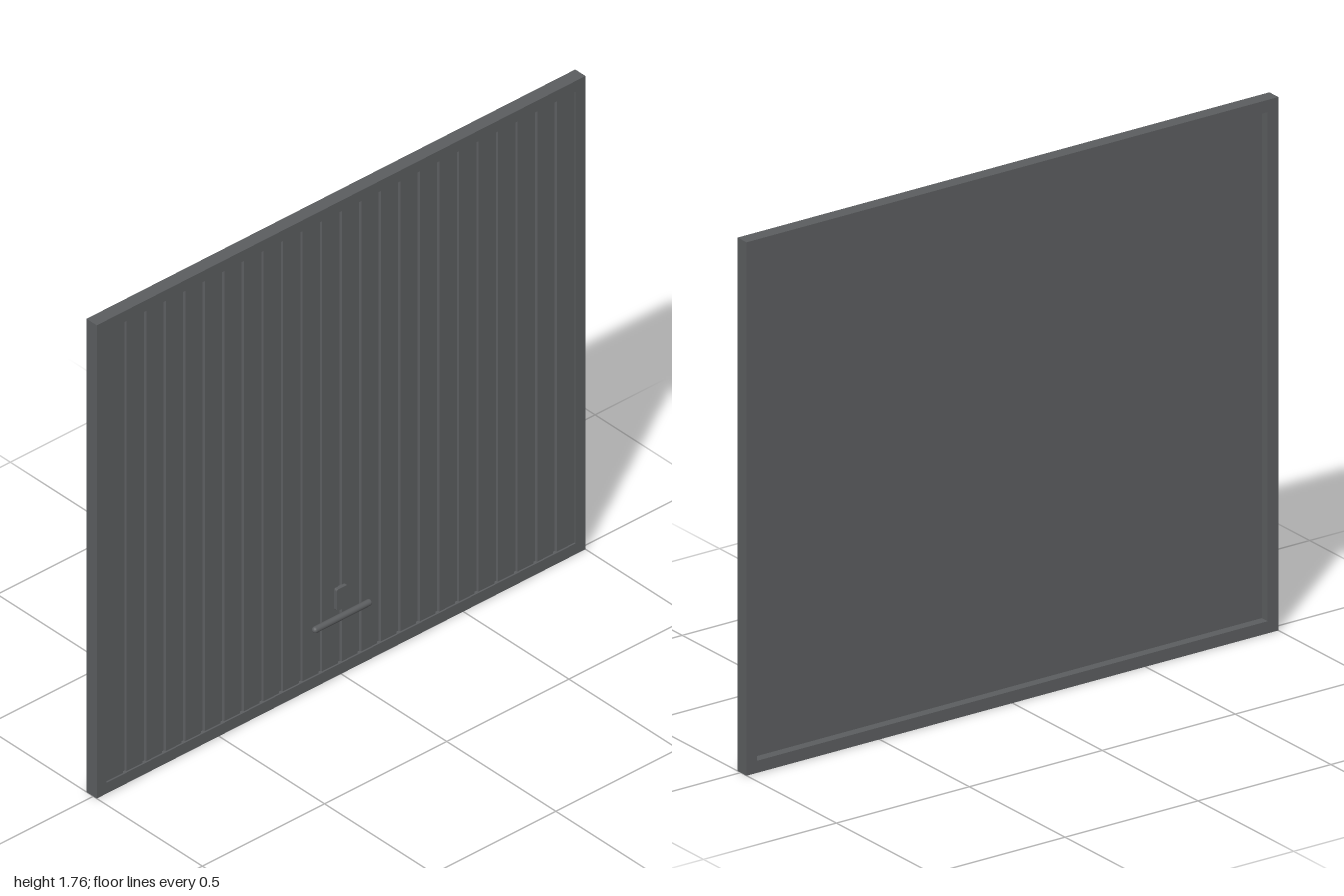
import * as THREE from 'three';

const W = 2, H = 1.76, RIM = 0.04;
const BACK = -0.031, FRONT = 0.016;

// Rectangle outline centred on x, between two heights
function rect(Type, halfW, y0, y1) {
  const s = new Type();
  s.moveTo(-halfW, y0);
  s.lineTo(halfW, y0);
  s.lineTo(halfW, y1);
  s.lineTo(-halfW, y1);
  s.closePath();
  return s;
}

export function createModel() {
  const model = new THREE.Group();
  model.name = 'garageDoor';
  const steel = new THREE.MeshStandardMaterial({ color: 0x5b5d5f });
  steel.name = 'anthracite steel';

  const add = (name, geometry) => {
    const mesh = new THREE.Mesh(geometry, steel);
    mesh.name = name;
    model.add(mesh);
    return mesh;
  };

  // Outer frame: deep at the back, shallow at the front
  const frame = rect(THREE.Shape, W / 2, 0, H);
  frame.holes.push(rect(THREE.Path, W / 2 - RIM, RIM, H - RIM));
  add('frame', new THREE.ExtrudeGeometry(frame, { depth: FRONT - BACK, bevelEnabled: false }))
    .position.z = BACK;

  // Door panel: flat back, front face with narrow upright grooves
  const pitch = 0.08, half = 0.008, face = 0.01, floor = 0.003, back = 0;
  const edge = W / 2 - RIM;
  const profile = new THREE.Shape();
  profile.moveTo(-edge, -back);
  profile.lineTo(-edge, -face);
  for (let i = -11; i <= 11; i++) {
    const x = i * pitch;
    profile.lineTo(x - half, -face);
    profile.lineTo(x - half * 0.6, -floor);
    profile.lineTo(x + half * 0.6, -floor);
    profile.lineTo(x + half, -face);
  }
  profile.lineTo(edge, -face);
  profile.lineTo(edge, -back);
  profile.closePath();
  const panel = new THREE.ExtrudeGeometry(profile, { depth: H - 2 * RIM, bevelEnabled: false });
  panel.rotateX(-Math.PI / 2);
  add('groovedPanel', panel).position.y = RIM;

  // Lock plate with rounded corners
  const w = 0.023, h = 0.04, r = 0.007;
  const plate = new THREE.Shape();
  plate.moveTo(-w + r, -h);
  plate.lineTo(w - r, -h);
  plate.quadraticCurveTo(w, -h, w, -h + r);
  plate.lineTo(w, h - r);
  plate.quadraticCurveTo(w, h, w - r, h);
  plate.lineTo(-w + r, h);
  plate.quadraticCurveTo(-w, h, -w, h - r);
  plate.lineTo(-w, -h + r);
  plate.quadraticCurveTo(-w, -h, -w + r, -h);
  add('lockPlate', new THREE.ExtrudeGeometry(plate, { depth: 0.014, bevelEnabled: false }))
    .position.set(0, 0.285, 0.008);

  // Round-ended handle bar
  const bar = new THREE.CapsuleGeometry(0.011, 0.218, 6, 16);
  bar.rotateZ(Math.PI / 2);
  add('handleBar', bar).position.set(0, 0.217, 0.02);

  return model;
}
